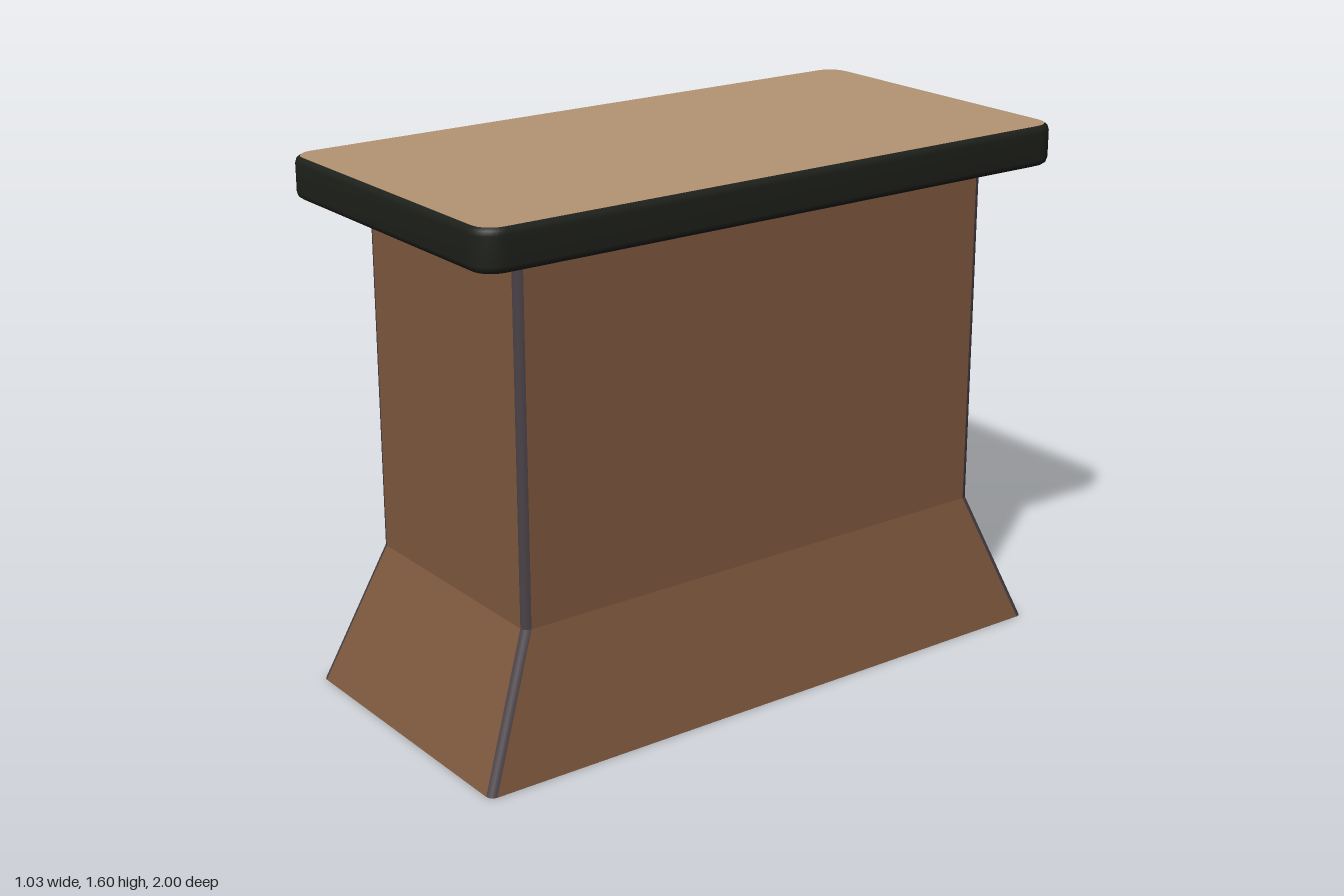
import * as THREE from 'three';

const mat = (color) => new THREE.MeshStandardMaterial({ color });
const panelMat = mat(0x80593f);
const trimMat = mat(0x4a4146);
const rimMat = mat(0x1e201b);
const topMat = mat(0xb49474);

// Rounded rectangle, counter-clockwise from above; y of each point is -z
function ring(hx, hz, r, seg) {
  const pts = [];
  [[1, 1], [-1, 1], [-1, -1], [1, -1]].forEach(([sx, sy], q) => {
    for (let i = 0; i <= seg; i++) {
      const a = (q + i / seg) * Math.PI / 2;
      pts.push(new THREE.Vector2(sx * (hx - r) + r * Math.cos(a), sy * (hz - r) + r * Math.sin(a)));
    }
  });
  return pts;
}

// Surface between stacked rows of points, each row { y, pts }
function loft(rows) {
  const n = rows[0].pts.length, pos = [], idx = [];
  for (const { y, pts } of rows) for (const p of pts) pos.push(p.x, y, -p.y);
  for (let j = 0; j < rows.length - 1; j++) {
    for (let i = 0; i < n - 1; i++) {
      const a = j * n + i, b = a + 1, c = a + n, d = b + n;
      idx.push(a, b, d, a, d, c);
    }
  }
  const g = new THREE.BufferGeometry();
  g.setAttribute('position', new THREE.Float32BufferAttribute(pos, 3));
  g.setIndex(idx);
  g.computeVertexNormals();
  return g;
}

function add(group, name, geometry, material) {
  const m = new THREE.Mesh(geometry, material);
  m.name = name;
  group.add(m);
}

function cap(pts, y, up) {
  return new THREE.ShapeGeometry(new THREE.Shape(pts))
    .rotateX(up ? -Math.PI / 2 : Math.PI / 2).translate(0, y, 0);
}

export function createModel() {
  const model = new THREE.Group();
  model.name = 'pedestalTable';

  // Hollow-looking pedestal: flared foot below, straight column above
  const pedestal = new THREE.Group();
  pedestal.name = 'pedestal';
  const SEG = 4;
  const levels = [
    { y: 0, pts: ring(0.467, 0.997, 0.022, SEG) },
    { y: 0.42, pts: ring(0.382, 0.82, 0.022, SEG) },
    { y: 1.485, pts: ring(0.382, 0.82, 0.022, SEG) },
  ];
  ['foot', 'column'].forEach((part, k) => {
    const rows = [levels[k], levels[k + 1]];
    for (let q = 0; q < 4; q++) {
      const s = q * (SEG + 1);
      const strip = rows.map(({ y, pts }) => ({ y, pts: pts.slice(s, s + SEG + 1) }));
      add(pedestal, part + 'CornerTrim', loft(strip), trimMat);
      const panel = rows.map(({ y, pts }) => ({ y, pts: [pts[s + SEG], pts[(s + SEG + 1) % pts.length]] }));
      add(pedestal, part + 'Panel', loft(panel), panelMat);
    }
  });
  add(pedestal, 'footBase', cap(levels[0].pts, 0, false), panelMat);
  model.add(pedestal);

  // Table top: dark softened rim around a tan board
  const top = new THREE.Group();
  top.name = 'tableTop';
  const profile = [[0.014, 1.48], [0.004, 1.487], [0, 1.5], [0, 1.58], [0.004, 1.593], [0.014, 1.6]];
  const rows = profile.map(([inset, y]) => {
    const pts = ring(0.514 - inset, 1 - inset, 0.075 - inset, 8);
    return { y, pts: [...pts, pts[0]] };
  });
  add(top, 'rim', loft(rows), rimMat);
  const face = ring(0.5, 0.986, 0.061, 8);
  add(top, 'topSurface', cap(face, 1.6, true), topMat);
  add(top, 'underside', cap(face, 1.48, false), topMat);
  model.add(top);

  return model;
}
